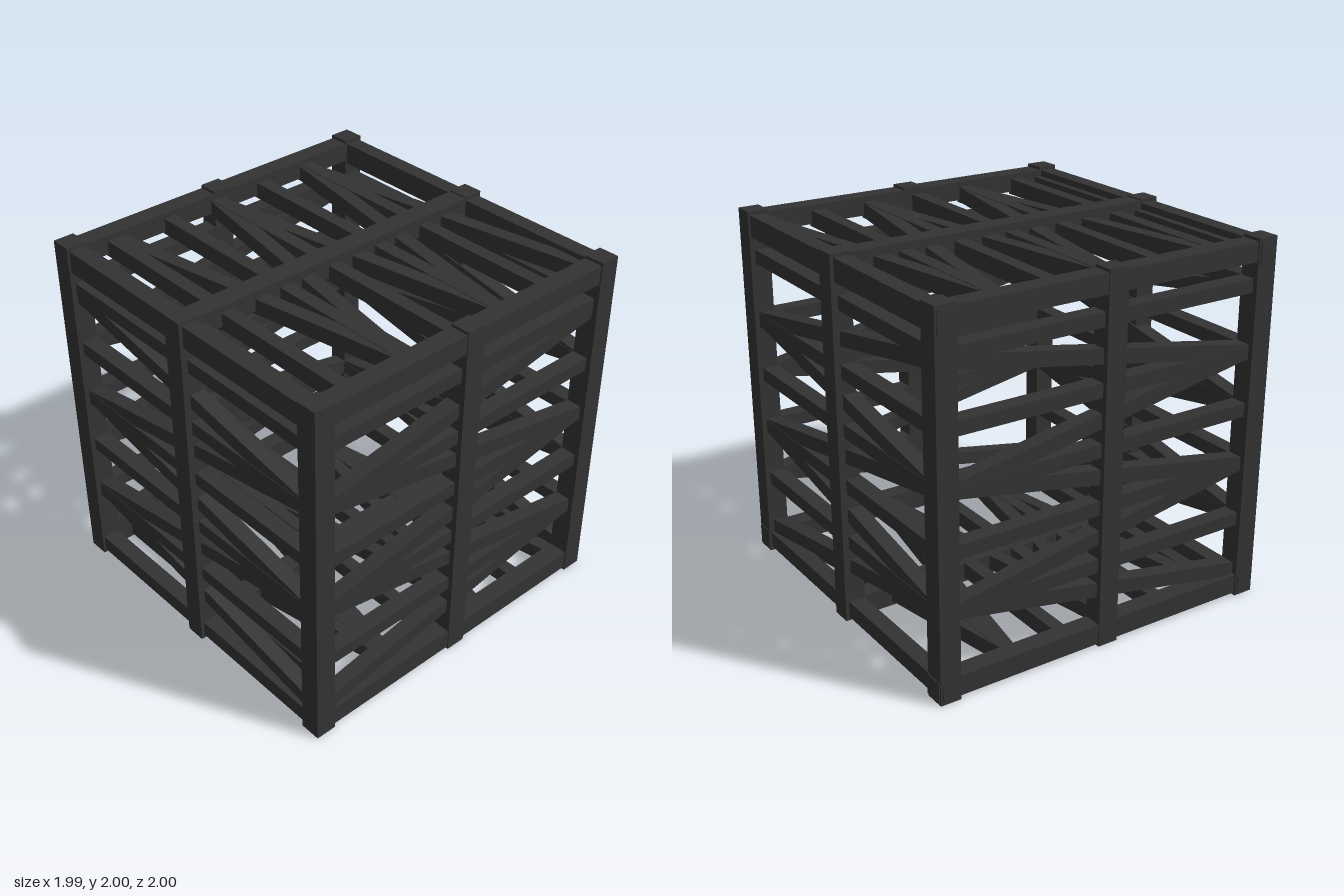
import * as THREE from 'three';

export function createModel() {
  const model = new THREE.Group();
  model.name = 'trussCube';
  const material = new THREE.MeshStandardMaterial({ color: 0x333333, flatShading: true });

  function beam(parent, name, size, position) {
    const mesh = new THREE.Mesh(new THREE.BoxGeometry(...size), material);
    mesh.name = name;
    mesh.position.set(...position);
    parent.add(mesh);
    return mesh;
  }

  // Lattice: horizontal rungs with a zigzag brace, running from v = 0 to v = 2
  function latticePanel(name) {
    const panel = new THREE.Group();
    panel.name = name;
    for (const v of [0.455, 0.775, 1.083, 1.397, 1.753]) {
      beam(panel, 'rung', [1.8, 0.075, 0.09], [0, v, 0]);
    }
    const rise = 0.313, run = 1.76;
    for (let i = 0; i < 5; i++) {
      const direction = i % 2 ? 1 : -1;
      const brace = beam(panel, 'diagonalBrace',
        [Math.hypot(run, rise) + 0.04, 0.078, 0.084], [0, 0.15 + rise * (i + 0.5), 0]);
      brace.rotation.z = direction * Math.atan2(rise, run);
    }
    model.add(panel);
    return panel;
  }

  // Four upright panels
  for (const s of [1, -1]) {
    latticePanel(s > 0 ? 'frontLattice' : 'backLattice').position.z = s * 0.92;
    const side = latticePanel(s > 0 ? 'leftLattice' : 'rightLattice');
    side.rotation.y = -Math.PI / 2;
    side.position.x = s * 0.92;
  }

  // Floor and roof panels, the roof set slightly further back
  const floor = latticePanel('floorLattice');
  floor.rotation.x = Math.PI / 2;
  floor.position.set(0, 0.075, -1);
  const roof = latticePanel('roofLattice');
  roof.rotation.x = Math.PI / 2;
  roof.position.set(0, 1.91, -1.04);
  beam(model, 'roofEndRung', [1.8, 0.09, 0.075], [0, 1.9, 0.887]);

  // Corner posts, middle posts and edge beams
  for (const s of [1, -1]) {
    for (const t of [1, -1]) {
      beam(model, 'cornerPost', [0.115, 2, 0.115], [s * 0.935, 1, t * 0.935]);
    }
    beam(model, 'middlePost', [0.113, 2, 0.113], [0, 1, s * 0.943]);
    beam(model, 'sideMiddlePost', [0.11, 2, 0.115], [s * 0.935, 1, 0.008]);
    beam(model, 'lowerCrossEdge', [1.97, 0.092, 0.09], [-0.013, 0.066, s * 0.935]);
    beam(model, 'upperCrossEdge', [1.97, 0.12, 0.09], [-0.013, 1.92, s * 0.935]);
    beam(model, 'lowerSideEdge', [0.105, 0.11, 1.97], [s * 0.932, 0.07, -0.013]);
    beam(model, 'upperSideEdge', [0.105, 0.105, 1.88], [s * 0.932, 1.932, 0]);
  }

  // Centre beams across roof and floor
  beam(model, 'roofCentreBeam', [0.113, 0.11, 1.9], [0, 1.938, 0]);
  beam(model, 'floorCentreBeam', [0.113, 0.11, 1.9], [0, 0.062, 0]);

  return model;
}
